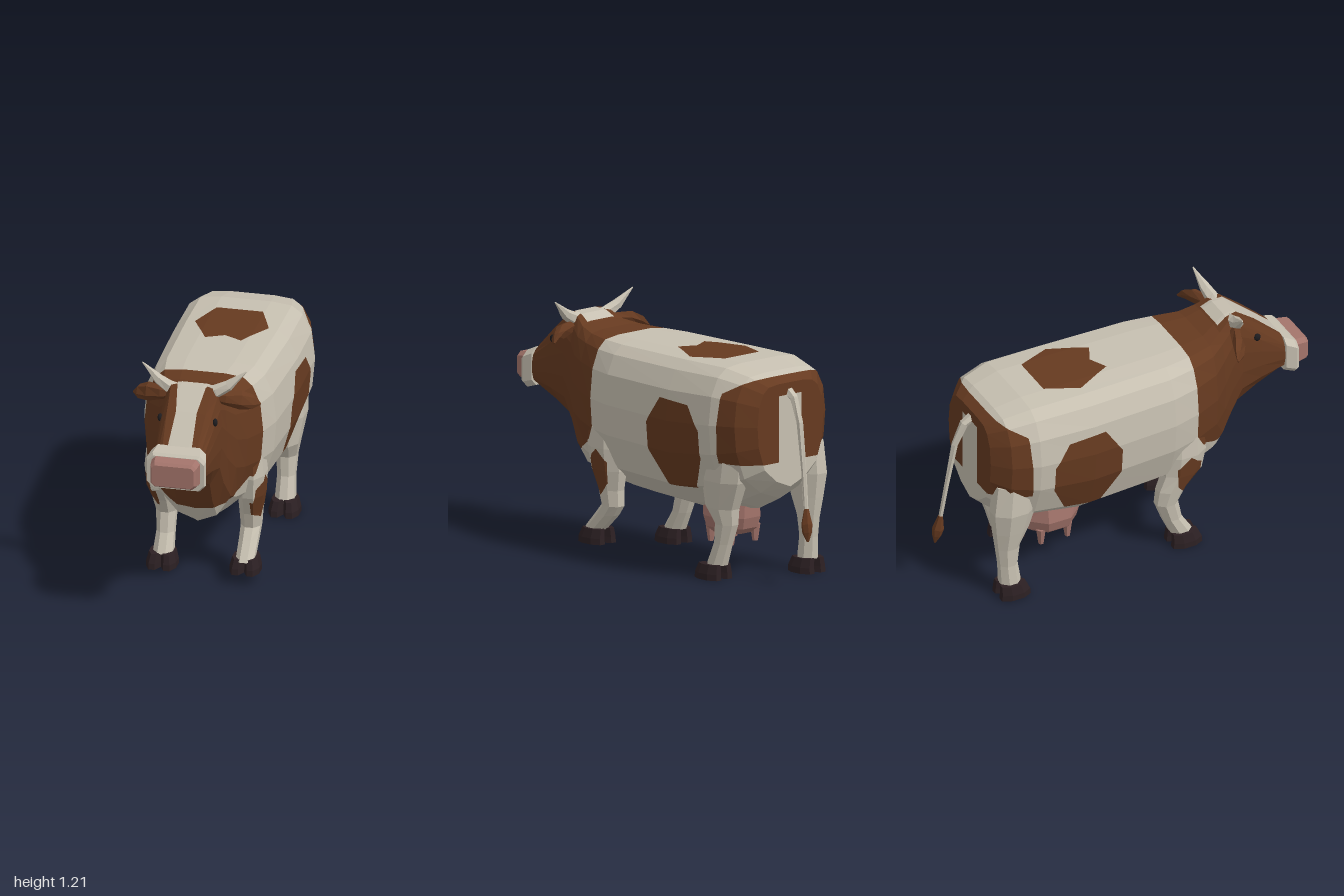
import * as THREE from 'three';

const mat = (name, color) => Object.assign(new THREE.MeshStandardMaterial({ color }), { name });
const V = (x, y, z) => new THREE.Vector3(x, y, z);

// ---- loft helpers: rings turn counter-clockwise about the travel direction ----
function loft(rings) {
  const tris = [], n = rings[0].length;
  const centre = (r) => r.reduce((s, p) => s.add(p), V(0, 0, 0)).divideScalar(n);
  const first = rings[0], last = rings[rings.length - 1];
  const c0 = centre(first), c1 = centre(last);
  for (let i = 0; i < n; i++) {
    const j = (i + 1) % n;
    for (let k = 0; k + 1 < rings.length; k++) {
      const a = rings[k], b = rings[k + 1];
      tris.push([a[i], a[j], b[j]], [a[i], b[j], b[i]]);
    }
    tris.push([c0, first[j], first[i]], [c1, last[i], last[j]]);
  }
  return tris;
}

// Horizontal oval ring, travelling downwards
const flatRing = (cx, y, cz, rx, rz, n = 8) => Array.from({ length: n }, (_, i) => {
  const a = ((i + 0.5) / n) * Math.PI * 2;
  return V(cx + rx * Math.cos(a) * 1.06, y, cz + rz * Math.sin(a) * 1.06);
});

// Rings square to a path; stations are [x, y, z, radiusA, radiusB]
function sweep(stations, n = 6) {
  const pts = stations.map((s) => V(s[0], s[1], s[2]));
  return loft(stations.map((s, k) => {
    const dir = pts[Math.min(k + 1, pts.length - 1)].clone().sub(pts[Math.max(k - 1, 0)]).normalize();
    const q = new THREE.Quaternion().setFromUnitVectors(V(0, 1, 0), dir);
    return Array.from({ length: n }, (_, i) => {
      const a = (i / n) * Math.PI * 2;
      return V(Math.cos(a) * s[3], 0, -Math.sin(a) * (s[4] ?? s[3])).applyQuaternion(q).add(pts[k]);
    });
  }));
}

// Upright rectangle ring with cut corners, travelling towards -z
function bevelRing(z, cx, w, y0, y1, c) {
  return [[w - c, y1], [w, y1 - c], [w, y0 + c], [w - c, y0], [c - w, y0], [-w, y0 + c], [-w, y1 - c], [c - w, y1]]
    .map(([x, y]) => V(cx + x, y, z));
}

// ---- colour patches: convex prisms that cut the faces they cross ----
function prism(points, toVec, ...extra) {
  const m = points.reduce((s, p) => [s[0] + p[0] / points.length, s[1] + p[1] / points.length], [0, 0]);
  const planes = points.map((p, i) => {
    const q = points[(i + 1) % points.length];
    let nx = p[1] - q[1], ny = q[0] - p[0];
    if (nx * (m[0] - p[0]) + ny * (m[1] - p[1]) < 0) { nx = -nx; ny = -ny; }
    const normal = toVec(nx, ny).normalize();
    return new THREE.Plane(normal, -normal.dot(toVec(p[0], p[1])));
  });
  return planes.concat(extra);
}
const sideOn = (z, y) => V(0, y, z);
const topOn = (x, z) => V(x, 0, z);
const beyondX = (s, d) => new THREE.Plane(V(s, 0, 0), -d);
const aboveY = (d) => new THREE.Plane(V(0, 1, 0), -d);

function cut(poly, plane) {
  const inside = [], outside = [];
  poly.forEach((p, i) => {
    const q = poly[(i + 1) % poly.length];
    const dp = plane.distanceToPoint(p), dq = plane.distanceToPoint(q);
    (dp >= 0 ? inside : outside).push(p);
    if ((dp >= 0) !== (dq >= 0)) {
      const x = p.clone().lerp(q, dp / (dp - dq));
      inside.push(x);
      outside.push(x);
    }
  });
  return [inside, outside];
}

function paint(tris, patches) {
  let faces = tris.map((pts) => ({ pts, m: 0 }));
  for (const { planes, m } of patches) {
    faces = faces.flatMap((f) => {
      let rest = f.pts;
      const out = [];
      for (const plane of planes) {
        const [a, b] = cut(rest, plane);
        if (a.length < 3) return [f];
        if (b.length > 2) out.push({ pts: b, m: f.m });
        rest = a;
      }
      return [...out, { pts: rest, m }];
    });
  }
  return faces;
}

// Faceted mesh from faces, one geometry group for each material
function build(name, tris, materials, patches = []) {
  const faces = paint(tris, patches), pos = [], g = new THREE.BufferGeometry();
  materials.forEach((_, m) => {
    const start = pos.length / 3;
    for (const { pts } of faces.filter((f) => f.m === m)) {
      for (let i = 1; i + 1 < pts.length; i++) {
        for (const p of [pts[0], pts[i], pts[i + 1]]) pos.push(p.x, p.y, p.z);
      }
    }
    g.addGroup(start, pos.length / 3 - start, m);
  });
  g.setAttribute('position', new THREE.Float32BufferAttribute(pos, 3));
  g.computeVertexNormals();
  const mesh = new THREE.Mesh(g, materials.length > 1 ? materials : materials[0]);
  mesh.name = name;
  return mesh;
}

export function createModel() {
  const cow = new THREE.Group();
  cow.name = 'cow';
  const white = mat('cream hide', 0xc6bfb0), brown = mat('brown hide', 0x663a20);
  const pink = mat('pink skin', 0xa3746b), dark = mat('dark hoof', 0x2c2023), black = mat('eye black', 0x1d1c1f);
  const hide = [white, brown];

  // Torso, neck and head: one loft from the face to the rump
  const trunk = [[0, 1], [0.36, 1], [0.66, 0.985], [0.82, 0.93], [0.95, 0.81], [1, 0.62], [0.96, 0.42], [0.78, 0.2], [0.42, 0.07], [0, 0]];
  const skull = [[0, 1], [0.36, 1], [0.68, 0.99], [0.84, 0.9], [0.95, 0.79], [1, 0.62], [1, 0.4], [0.93, 0.2], [0.6, 0.02], [0, 0]];
  // [z, half width, top, bottom, share of skull shape]
  const sections = [
    [0.88, 0.125, 0.91, 0.73, 1], [0.73, 0.143, 1.045, 0.67, 1], [0.62, 0.152, 1.135, 0.61, 1], [0.56, 0.165, 1.13, 0.48, 0.7],
    [0.5, 0.2, 1.095, 0.37, 0.4], [0.42, 0.25, 1.075, 0.33, 0], [0.3, 0.295, 1.07, 0.31, 0], [0.15, 0.33, 1.07, 0.295, 0],
    [-0.3, 0.347, 1.07, 0.275, 0], [-0.6, 0.345, 1.07, 0.33, 0], [-0.74, 0.305, 1.04, 0.4, 0], [-0.815, 0.22, 0.99, 0.47, 0]];
  const headX = 0.017;
  const rings = sections.map(([z, w, y1, y0, k]) => {
    const half = trunk.map(([x, t], i) => [
      w * THREE.MathUtils.lerp(x, skull[i][0], k), y0 + (y1 - y0) * THREE.MathUtils.lerp(t, skull[i][1], k)]);
    const all = [...half, ...half.slice(1, -1).reverse().map(([x, y]) => [-x, y])];
    return all.map(([x, y]) => V(x + headX * (z > 0.45 ? 1 : 0), y, z));
  });

  const shoulder = { m: 1, planes: prism([[0.29, 1.08], [0.13, 0.92], [0.33, 0.57], [0.57, 0.44], [1.2, 0.44], [1.2, 1.3], [0.29, 1.3]], sideOn) };
  const patches = [shoulder];
  for (const s of [1, -1]) {
    // Flank, rump and half of the saddle spot
    patches.push({ m: 1, planes: prism([[-0.24, 0.875], [-0.44, 0.865], [-0.52, 0.75], [-0.52, 0.61], [-0.43, 0.44], [-0.24, 0.43], [-0.15, 0.6], [-0.15, 0.74]], sideOn, beyondX(s, 0.1)) });
    patches.push({ m: 1, planes: prism([[-0.63, 0.6], [-0.65, 0.95], [-0.77, 1.02], [-1, 1.02], [-1, 0.6]], sideOn, beyondX(s, 0.075)) });
    patches.push({ m: 1, planes: prism([[0, -0.47], [0.115 * s, -0.47], [0.185 * s, -0.3], [0.09 * s, -0.11], [0, -0.155]], topOn, aboveY(0.9)) });
  }
  patches.push({ m: 1, planes: prism([[-0.77, 0.93], [-0.77, 1.02], [-1, 1.02], [-1, 0.93]], sideOn) });
  // Blaze down the face
  for (const [w0, z0, w1, z1] of [[0.09, 0.51, 0.052, 0.73], [0.052, 0.73, 0.062, 0.9]]) {
    patches.push({ m: 0, planes: prism([[headX - w0, z0], [headX + w0, z0], [headX + w1, z1], [headX - w1, z1]], topOn, aboveY(0.85)) });
  }
  cow.add(build('body', loft(rings), hide, patches));

  // Muzzle band and nose
  cow.add(build('muzzleBand', loft([
    bevelRing(0.93, 0.01, 0.142, 0.72, 0.888, 0.03), bevelRing(0.915, 0.01, 0.148, 0.715, 0.9, 0.03),
    bevelRing(0.865, 0.012, 0.135, 0.73, 0.922, 0.03)]), [white]));
  cow.add(build('nose', loft([
    bevelRing(1, 0.012, 0.105, 0.76, 0.868, 0.015), bevelRing(0.985, 0.012, 0.115, 0.75, 0.88, 0.02),
    bevelRing(0.92, 0.012, 0.122, 0.74, 0.888, 0.02)]), [pink]));

  // Horns, ears and eyes
  for (const s of [1, -1]) {
    const at = (list) => list.map(([x, ...r]) => [headX + s * x, ...r]);
    cow.add(build('horn', sweep(at([[0.07, 1.095, 0.585, 0.036], [0.12, 1.11, 0.59, 0.034], [0.175, 1.14, 0.58, 0.027], [0.215, 1.175, 0.57, 0.015], [0.26, 1.212, 0.56, 0.003]])), [white]));
    cow.add(build('ear', sweep(at([[0.1, 1.07, 0.585, 0.018, 0.015], [0.16, 1.068, 0.575, 0.034, 0.03], [0.23, 1.058, 0.555, 0.047, 0.03], [0.285, 1.042, 0.53, 0.036, 0.018], [0.318, 1.025, 0.505, 0.005, 0.004]])), [brown]));
    const eye = new THREE.Mesh(new THREE.SphereGeometry(0.02, 8, 6), black);
    eye.name = 'eye';
    eye.scale.set(0.6, 1, 0.9);
    eye.position.set(headX + s * 0.138, 0.993, 0.705);
    cow.add(eye);
  }

  // Legs: stations are [y, z, half width, half depth, distance from the middle]
  const shoulderTop = [[0.64, 0.245, 0.055, 0.1, 0.235], [0.54, 0.24, 0.065, 0.11, 0.235], [0.43, 0.23, 0.065, 0.1, 0.228]];
  const legs = [
    ['raisedFrontLeg', 1, [...shoulderTop, [0.33, 0.22, 0.055, 0.07, 0.222], [0.25, 0.21, 0.05, 0.06, 0.22], [0.2, 0.25, 0.048, 0.065, 0.22], [0.115, 0.335, 0.046, 0.06, 0.22]], 0.05, 0.325],
    ['frontLeg', -1, [...shoulderTop, [0.34, 0.175, 0.058, 0.075, 0.222], [0.26, 0.15, 0.05, 0.058, 0.218], [0.16, 0.18, 0.045, 0.05, 0.215], [0.07, 0.23, 0.05, 0.058, 0.215]], 0, 0.245],
    ['forwardHindLeg', 1, [[0.66, -0.6, 0.07, 0.14, 0.23], [0.5, -0.585, 0.08, 0.13, 0.225], [0.36, -0.56, 0.065, 0.095, 0.215], [0.28, -0.585, 0.052, 0.062, 0.21], [0.18, -0.565, 0.045, 0.048, 0.212], [0.07, -0.525, 0.05, 0.054, 0.215]], 0, -0.5],
    ['rearHindLeg', -1, [[0.66, -0.68, 0.07, 0.11, 0.22], [0.5, -0.695, 0.08, 0.115, 0.22], [0.38, -0.705, 0.065, 0.09, 0.215], [0.28, -0.72, 0.052, 0.06, 0.21], [0.18, -0.72, 0.045, 0.048, 0.212], [0.07, -0.71, 0.05, 0.054, 0.215]], 0, -0.7]];
  for (const [name, s, stations, hoofY, hoofZ] of legs) {
    const spot = { m: 1, planes: prism([[0.32, 0.475], [0.25, 0.535], [0.18, 0.475], [0.185, 0.37], [0.24, 0.305], [0.315, 0.34]], sideOn, beyondX(s, 0.235)) };
    const shape = loft(stations.map(([y, z, rx, rz, cx]) => flatRing(s * cx, y, z, rx, rz)));
    cow.add(build(name, shape, hide, hoofZ > 0 ? [shoulder, spot] : []));
    // Cloven hoof
    for (const t of [-1, 1]) {
      const x = s * 0.218 + t * 0.037;
      const toe = loft([flatRing(x - t * 0.006, hoofY + 0.075, hoofZ - 0.008, 0.033, 0.066), flatRing(x, hoofY + 0.03, hoofZ, 0.038, 0.077), flatRing(x, hoofY, hoofZ, 0.038, 0.08)]);
      cow.add(build('hoof', toe, [dark]));
    }
  }

  // Udder with four teats
  cow.add(build('udder', loft([
    flatRing(-0.008, 0.36, -0.39, 0.12, 0.15), flatRing(-0.008, 0.27, -0.39, 0.135, 0.15),
    flatRing(-0.008, 0.215, -0.39, 0.12, 0.135), flatRing(-0.008, 0.185, -0.39, 0.085, 0.1)]), [pink]));
  for (const x of [-0.09, 0.07]) for (const z of [-0.325, -0.47]) {
    cow.add(build('teat', loft([flatRing(x, 0.22, z, 0.025, 0.025, 6), flatRing(x, 0.16, z, 0.017, 0.017, 6), flatRing(x, 0.135, z, 0.013, 0.013, 6)]), [pink]));
  }

  // Tail and tuft
  cow.add(build('tail', sweep([[0, 0.95, -0.79, 0.026], [0.003, 0.915, -0.845, 0.022], [0.01, 0.8, -0.893, 0.017], [0.02, 0.56, -0.933, 0.013], [0.032, 0.36, -0.962, 0.011]]), [white]));
  cow.add(build('tailTuft', sweep([[0.03, 0.385, -0.96, 0.012], [0.036, 0.31, -0.97, 0.029], [0.04, 0.27, -0.976, 0.024], [0.043, 0.225, -0.984, 0.005]]), [brown]));
  return cow;
}
